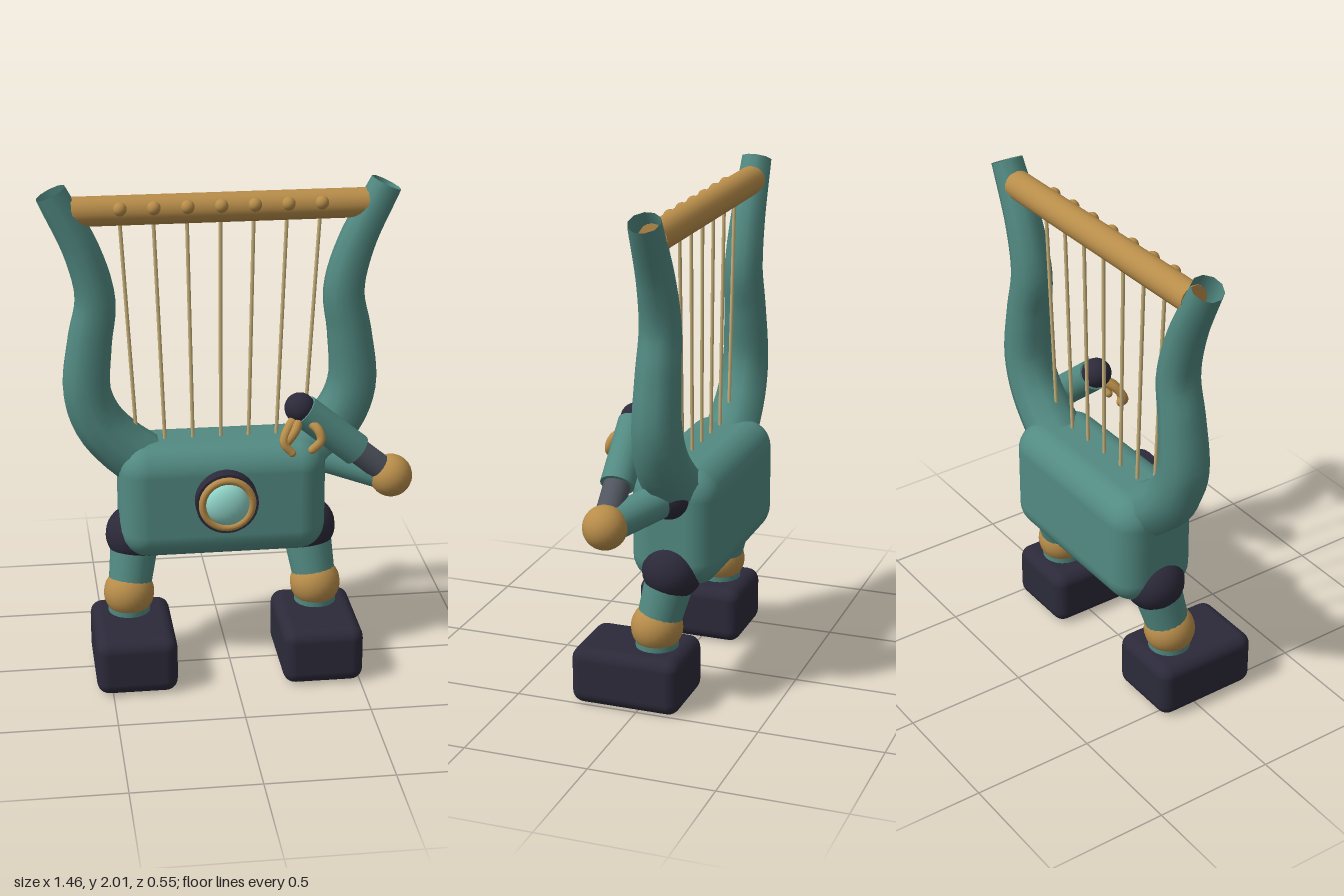
import * as THREE from 'three';
import { RoundedBoxGeometry } from 'three/addons/geometries/RoundedBoxGeometry.js';

const V = (x, y, z) => new THREE.Vector3(x, y, z);

function material(name, color, side = THREE.FrontSide) {
  const m = new THREE.MeshStandardMaterial({ color, side });
  m.name = name;
  return m;
}

// Tube along a curve whose radius runs from r0 to r1
function taperedTube(points, r0, r1, steps, sides) {
  const curve = new THREE.CatmullRomCurve3(points);
  const geo = new THREE.TubeGeometry(curve, steps, 1, sides, false);
  const pos = geo.attributes.position;
  const p = V(0, 0, 0);
  for (let i = 0; i <= steps; i++) {
    const centre = curve.getPointAt(i / steps);
    const r = THREE.MathUtils.lerp(r0, r1, i / steps);
    for (let j = 0; j <= sides; j++) {
      const k = i * (sides + 1) + j;
      p.fromBufferAttribute(pos, k).sub(centre).multiplyScalar(r).add(centre);
      pos.setXYZ(k, p.x, p.y, p.z);
    }
  }
  return geo;
}

export function createModel() {
  const root = new THREE.Group();
  root.name = 'harpRobot';
  const model = new THREE.Group();
  model.name = 'harpBody';
  model.position.x = -0.025;
  root.add(model);

  const teal = material('teal', 0x528a82, THREE.DoubleSide);
  const gold = material('gold', 0xb88d4a);
  const dark = material('dark', 0x2c2a3a);
  const grey = material('grey', 0x50555f);
  const glass = material('glass', 0x8fd3c8);
  const wire = material('wire', 0xc8b27c);

  const add = (name, geo, mat, at) => {
    const mesh = new THREE.Mesh(geo, mat);
    mesh.name = name;
    if (at) mesh.position.copy(at);
    model.add(mesh);
    return mesh;
  };
  const ball = (name, r, mat, at) => add(name, new THREE.SphereGeometry(r, 24, 16), mat, at);
  // Cylinder from a (radius ra) to b (radius rb)
  const rod = (name, a, b, ra, rb, mat, sides = 20) => {
    const dir = b.clone().sub(a);
    const mesh = add(name, new THREE.CylinderGeometry(rb, ra, dir.length(), sides), mat,
      a.clone().lerp(b, 0.5));
    mesh.quaternion.setFromUnitVectors(V(0, 1, 0), dir.normalize());
    return mesh;
  };

  // Torso
  add('torso', new RoundedBoxGeometry(0.83, 0.475, 0.355, 4, 0.11), teal, V(0, 0.7225, -0.095));

  // Chest lamp
  const housing = add('lampHousing', new THREE.CylinderGeometry(0.125, 0.125, 0.11, 32), dark, V(0, 0.755, 0.08));
  housing.rotation.x = Math.PI / 2;
  add('lampRing', new THREE.TorusGeometry(0.1, 0.015, 10, 36), gold, V(0, 0.755, 0.137));
  const lens = ball('lampLens', 0.088, glass, V(0, 0.755, 0.135));
  lens.scale.z = 0.53;

  for (const s of [1, -1]) {
    const side = s > 0 ? 'left' : 'right';
    // Curved harp horn
    const path = [[0.3, 0.86], [0.4, 0.94], [0.485, 1.04], [0.53, 1.17], [0.515, 1.38],
      [0.49, 1.55], [0.535, 1.74], [0.65, 1.98]].map(([x, y]) => V(s * x, y, -0.093));
    add(side + 'Horn', taperedTube(path, 0.115, 0.063, 32, 10), teal);

    // Leg and foot
    const hip = V(s * 0.35, 0.55, -0.09);
    const knee = V(s * 0.384, 0.315, -0.037);
    ball(side + 'Hip', 0.121, dark, hip);
    rod(side + 'UpperLeg', hip, knee, 0.1, 0.085, teal);
    ball(side + 'Knee', 0.103, gold, knee);
    rod(side + 'LowerLeg', knee, V(s * 0.384, 0.2, -0.037), 0.085, 0.085, teal);
    add(side + 'Foot', new RoundedBoxGeometry(0.325, 0.235, 0.447, 3, 0.05), dark, V(s * 0.376, 0.1175, 0.052));
  }

  // Crossbar, tuning pegs and strings
  rod('crossbar', V(-0.575, 1.903, -0.095), V(0.575, 1.903, -0.095), 0.058, 0.058, gold);
  for (let i = -3; i <= 3; i++) {
    ball('tuningPeg', 0.027, gold, V(i * 0.13, 1.92, -0.048));
    rod('string', V(i * 0.112, 0.93, -0.085), V(i * 0.13, 1.88, -0.085), 0.0075, 0.0075, wire, 8);
  }

  // Plucking arm
  const shoulder = V(0.395, 0.865, -0.09);
  const elbow = V(0.668, 0.815, 0.063);
  const wrist = V(0.293, 1.128, 0.08);
  ball('shoulder', 0.09, dark, shoulder);
  rod('upperArm', shoulder, elbow, 0.07, 0.066, teal);
  ball('elbow', 0.086, gold, elbow);
  const cuff = elbow.clone().lerp(wrist, 0.38);
  rod('forearmShaft', elbow, cuff, 0.052, 0.052, grey);
  rod('forearm', cuff, elbow.clone().lerp(wrist, 0.96), 0.066, 0.066, teal);
  ball('wrist', 0.061, dark, wrist);

  // Fingers
  const fingers = [
    [V(0.28, 1.1, 0.09), V(0.235, 1.06, 0.14), V(0.218, 1.015, 0.165), V(0.25, 0.975, 0.17)],
    [V(0.285, 1.09, 0.1), V(0.265, 1.06, 0.15), V(0.235, 1.02, 0.16), V(0.225, 1.0, 0.15)],
    [V(0.31, 1.09, 0.1), V(0.355, 1.06, 0.15), V(0.365, 1.02, 0.165), V(0.33, 0.982, 0.165)],
  ];
  for (const f of fingers) {
    add('finger', taperedTube(f, 0.021, 0.016, 12, 10), gold);
    ball('fingertip', 0.016, gold, f[3]);
  }

  return root;
}
